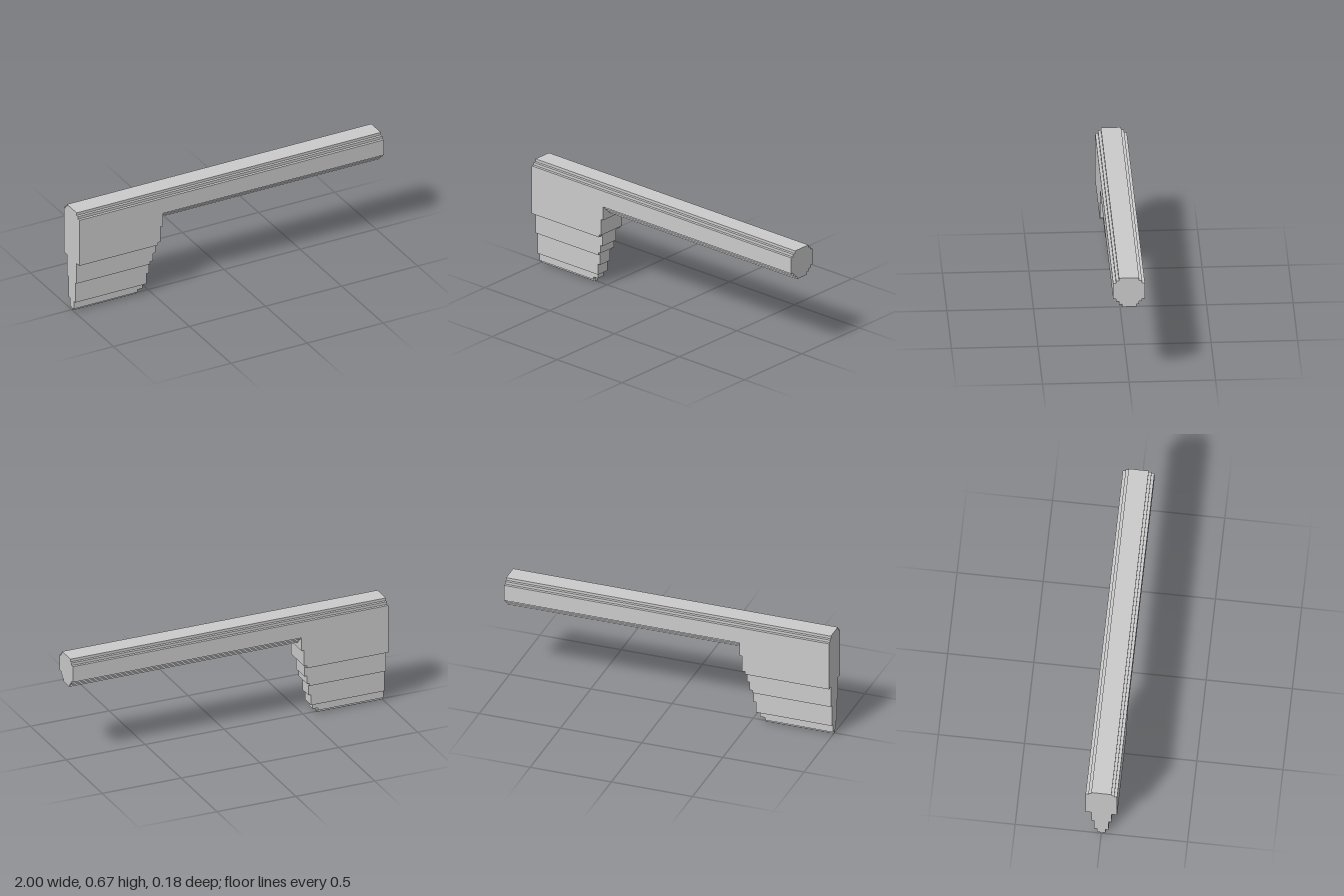
import * as THREE from 'three';

const U = 1 / 60; // size of one step; the model is 120 steps long

// Solid with a stepped, mirrored cross-section, running along x from x0 to x1 steps.
// levels: [bottom, top, halfWidth] from the lowest upwards.
function steppedBeam(name, levels, x0, x1, material) {
  const right = levels.flatMap(([y0, y1, w]) => [[w, y0], [w, y1]]);
  const left = right.map(([w, y]) => [-w, y]).reverse();
  const shape = new THREE.Shape([...right, ...left].map(([z, y]) => new THREE.Vector2(z * U, y * U)));
  const geometry = new THREE.ExtrudeGeometry(shape, { depth: (x1 - x0) * U, bevelEnabled: false });
  geometry.rotateY(Math.PI / 2);
  geometry.translate(x0 * U - 1, 0, 0);
  const mesh = new THREE.Mesh(geometry, material);
  mesh.name = name;
  return mesh;
}

export function createModel() {
  const material = new THREE.MeshStandardMaterial({ color: 0xcccccc, flatShading: true });
  const model = new THREE.Group();
  model.name = 'steppedBladeTool';

  // Upper edge shared by the long bar and the head above the blade
  const crown = [[38, 39, 4.5], [39, 40, 3.5]];

  // Long bar with stepped, rounded underside
  const barLevels = [[29, 30, 2.5], [30, 31, 3.5], [31, 32, 4.5], [32, 38, 5.5], ...crown];
  model.add(steppedBeam('bar', barLevels, 33, 120, material));

  // Head joining bar and blade
  model.add(steppedBeam('head', [[27, 38, 5.5], ...crown], 0, 33, material));

  // Blade tapering down in steps: bottom, top, half width, length
  const blade = new THREE.Group();
  blade.name = 'blade';
  const layers = [
    [0, 1, 0.5, 25], [1, 2, 1.5, 25], [2, 4, 1.5, 27],
    [4, 8, 2.5, 28], [8, 12, 2.5, 29],
    [12, 13, 3.5, 29], [13, 16, 3.5, 30], [16, 20, 3.5, 31],
    [20, 21, 5.5, 31], [21, 27, 5.5, 32],
  ];
  layers.forEach(([y0, y1, w, length], i) => {
    blade.add(steppedBeam(`bladeLayer${i + 1}`, [[y0, y1, w]], 0, length, material));
  });
  model.add(blade);

  return model;
}
